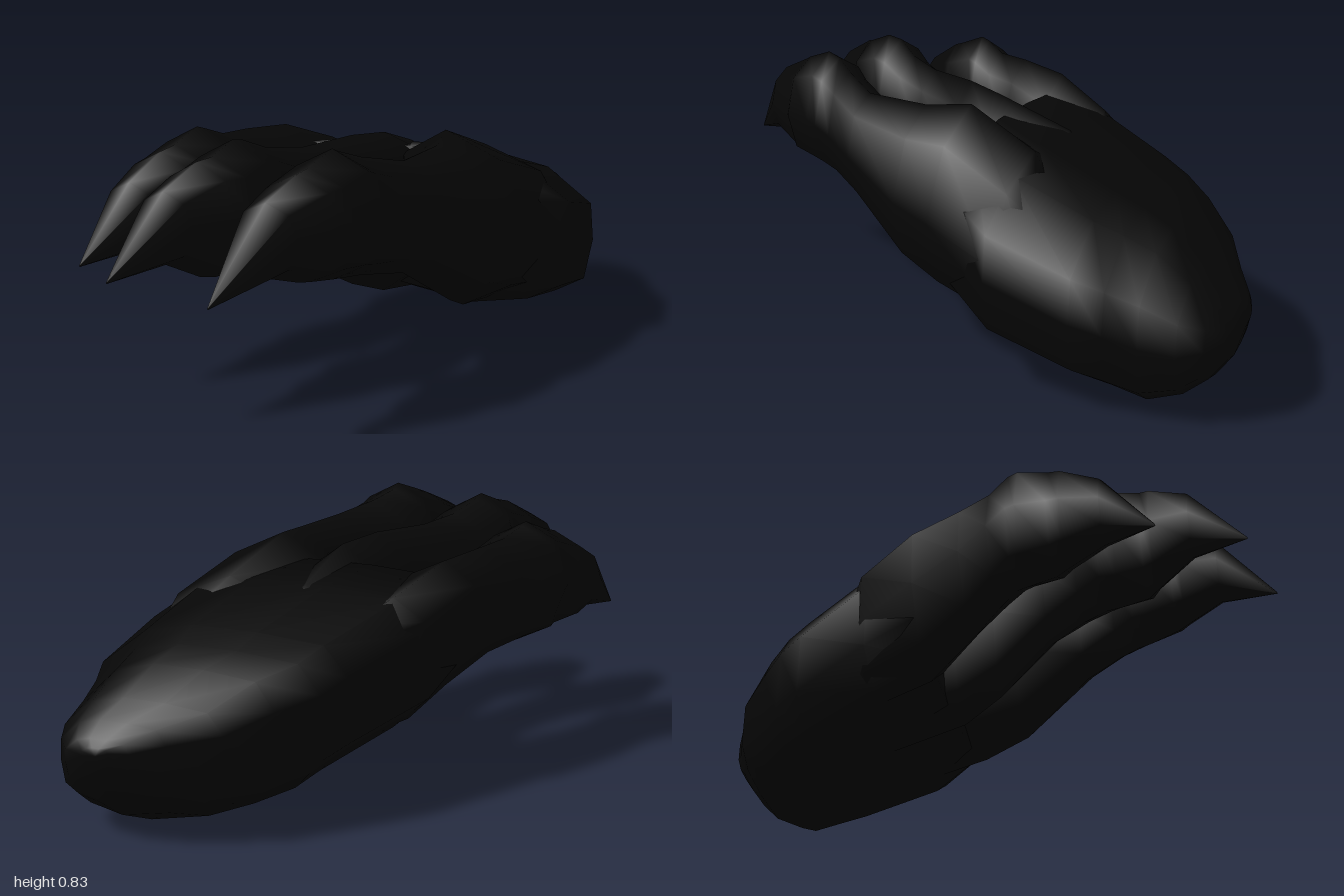
import * as THREE from 'three';

// Outlines inside a unit square, counter-clockwise from the right.
const TOE_OUTLINE = Array.from({ length: 8 }, (_, j) => {
  const a = (j / 8) * Math.PI * 2;
  return [0.5 + Math.cos(a) / 2, 0.5 + Math.sin(a) / 2];
});
// Flat top and steep wall on one side, bevelled on the other, deepest off-centre
const PALM_OUTLINE = [
  [1, 0.45], [0.985, 0.7], [0.8, 0.93], [0.6, 1], [0.35, 1], [0.1, 0.97], [0.01, 0.8],
  [0, 0.42], [0.12, 0.22], [0.35, 0.09], [0.65, 0], [0.85, 0.06], [0.97, 0.17],
];

// Skin a row of outlines, each fitted to
// [z, left x, right x, bottom y, top y, sideways shift of the top, of the bottom].
function loft(stations, outline) {
  const first = stations[0], last = stations[stations.length - 1];
  const collapse = s => {
    const cx = (s[1] + s[2]) / 2, cy = (s[3] + s[4]) / 2;
    return [s[0], cx, cx, cy, cy];
  };
  const rows = [collapse(first), ...stations, collapse(last)];
  const n = outline.length, pos = [], index = [];
  for (const [z, x0, x1, y0, y1, ridge = 0, keel = 0] of rows) {
    for (const [u, v] of outline) {
      const shift = ridge * Math.max(2 * v - 1, 0) + keel * Math.max(1 - 2 * v, 0);
      pos.push(x0 + u * (x1 - x0) + shift, y0 + v * (y1 - y0), z);
    }
  }
  for (let i = 0; i < rows.length - 1; i++) {
    for (let j = 0; j < n; j++) {
      const a = i * n + j, b = i * n + (j + 1) % n;
      index.push(a, b, b + n, a, b + n, a + n);
    }
  }
  const g = new THREE.BufferGeometry();
  g.setAttribute('position', new THREE.Float32BufferAttribute(pos, 3));
  g.setIndex(index);
  g.computeVertexNormals();
  return g;
}

// Broad heel and pad, narrowing inside the toe roots at its front
const PALM = [
  [-1.0, 0.37, 0.46, 0.27, 0.32],
  [-0.98, 0.31, 0.53, 0.19, 0.34],
  [-0.93, 0.22, 0.58, 0.12, 0.38],
  [-0.86, 0.07, 0.615, 0.055, 0.43],
  [-0.75, -0.04, 0.622, 0.0, 0.505],
  [-0.65, -0.14, 0.64, 0.02, 0.54],
  [-0.56, -0.19, 0.67, 0.045, 0.575],
  [-0.28, -0.335, 0.645, 0.1, 0.66],
  [-0.09, -0.375, 0.5, 0.19, 0.69, 0, 0.05],
];

// Each toe swells to a knuckle, steps in at the claw base and runs out to a point.
const TOES = {
  rightToe: [
    [-0.4, -0.2, 0, 0.25, 0.57], [-0.3, -0.325, 0.02, 0.2, 0.65, -0.07],
    [-0.1, -0.415, -0.06, 0.25, 0.73, -0.08, 0.05], [0.07, -0.49, -0.21, 0.33, 0.745, -0.04, 0.05],
    [0.18, -0.575, -0.275, 0.375, 0.75, 0, 0.03], [0.25, -0.62, -0.305, 0.39, 0.78],
    [0.28, -0.622, -0.315, 0.395, 0.79], [0.38, -0.65, -0.35, 0.4, 0.75],
    [0.42, -0.662, -0.4, 0.405, 0.735], [0.54, -0.672, -0.49, 0.44, 0.66],
    [0.7, -0.677, -0.673, 0.428, 0.434],
  ],
  middleToe: [
    [-0.4, -0.05, 0.25, 0.2, 0.58], [-0.3, -0.14, 0.28, 0.13, 0.66],
    [-0.05, -0.1, 0.2, 0.19, 0.74], [0.09, -0.135, 0.11, 0.25, 0.755],
    [0.28, -0.24, 0.02, 0.37, 0.75], [0.4, -0.33, -0.03, 0.4, 0.77],
    [0.48, -0.4, -0.06, 0.405, 0.81], [0.53, -0.387, -0.08, 0.41, 0.82],
    [0.62, -0.412, -0.11, 0.415, 0.785], [0.65, -0.422, -0.17, 0.42, 0.775],
    [0.77, -0.438, -0.26, 0.49, 0.71], [0.94, -0.452, -0.448, 0.475, 0.481],
  ],
  leftToe: [
    [-0.4, 0.25, 0.58, 0.2, 0.57], [-0.3, 0.13, 0.635, 0.13, 0.665, -0.05],
    [-0.05, 0.1, 0.56, 0.17, 0.762, -0.07], [0.1, 0.15, 0.5, 0.235, 0.745, -0.05],
    [0.33, 0.09, 0.38, 0.39, 0.745], [0.46, 0, 0.29, 0.415, 0.78],
    [0.53, -0.068, 0.26, 0.42, 0.81], [0.57, -0.06, 0.25, 0.43, 0.826],
    [0.67, -0.09, 0.21, 0.45, 0.79], [0.7, -0.098, 0.17, 0.455, 0.775],
    [0.82, -0.107, 0.085, 0.5, 0.72], [1.0, -0.112, -0.108, 0.457, 0.463],
  ],
};

export function createModel() {
  const paw = new THREE.Group();
  paw.name = 'clawedPaw';
  const black = new THREE.MeshStandardMaterial({ color: 0x060606 });
  black.name = 'black';

  const add = (name, geometry) => {
    const mesh = new THREE.Mesh(geometry, black);
    mesh.name = name;
    paw.add(mesh);
  };

  add('palm', loft(PALM, PALM_OUTLINE));
  for (const [name, stations] of Object.entries(TOES)) add(name, loft(stations, TOE_OUTLINE));
  return paw;
}
